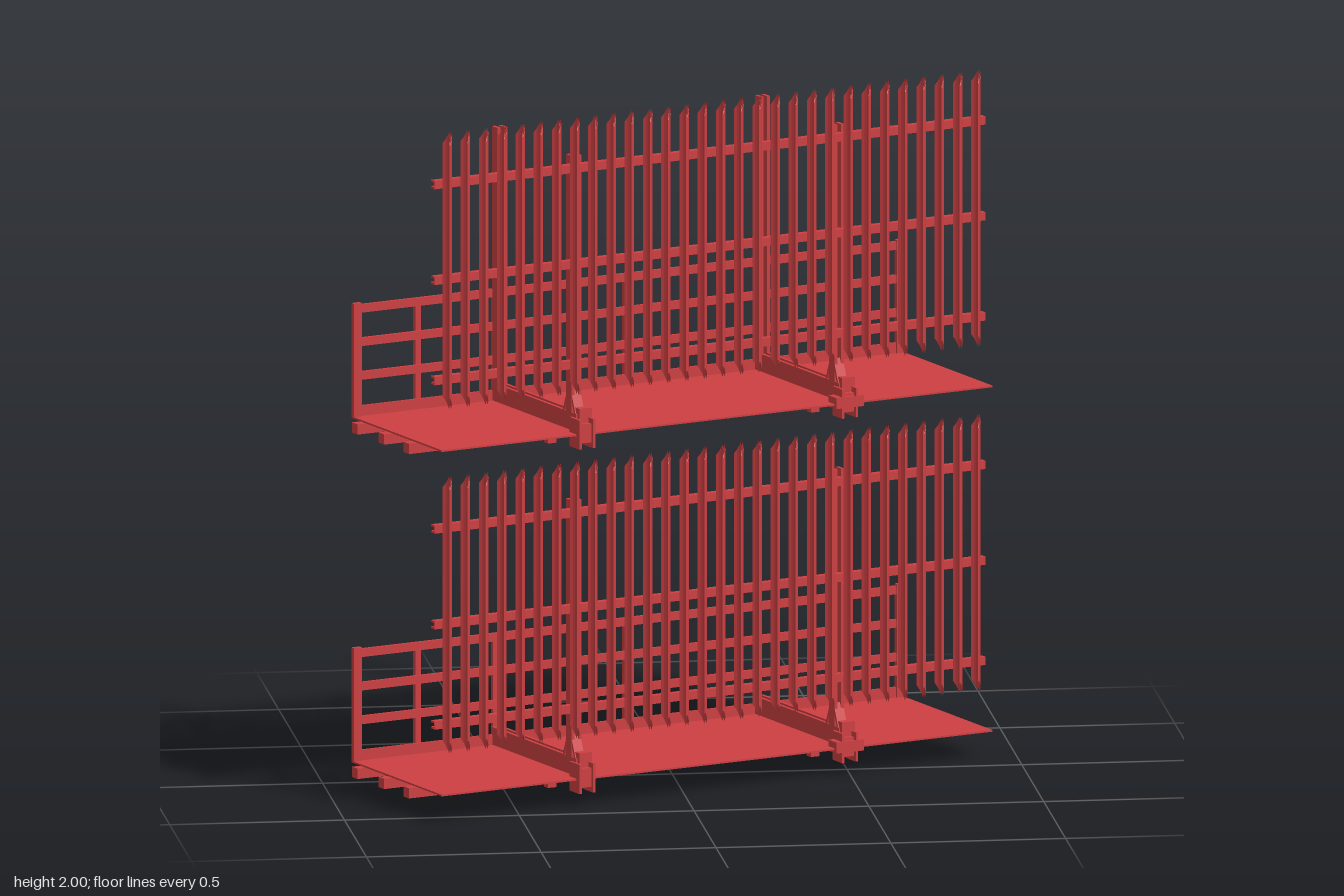
import * as THREE from 'three';

const red = new THREE.MeshStandardMaterial({ color: 0xcc3f42, side: THREE.DoubleSide, flatShading: true });
const HALF = 0.895;      // half length of a platform
const ARM = 0.427;       // offset of the two support frames
const BACK = -0.257;     // guard rail line

function mesh(parent, name, geo, x = 0, y = 0, z = 0) {
  const m = new THREE.Mesh(geo, red);
  m.name = name;
  m.position.set(x, y, z);
  parent.add(m);
  return m;
}

// Box given by its x, y and z ranges
function span(parent, name, x0, x1, y0, y1, z0, z1) {
  return mesh(parent, name, new THREE.BoxGeometry(x1 - x0, y1 - y0, z1 - z0),
    (x0 + x1) / 2, (y0 + y1) / 2, (z0 + z1) / 2);
}

// Pair of parallel channels with a narrow gap, centred on x
function twin(parent, name, x, y0, y1, z0, z1) {
  for (const s of [-1, 1]) {
    const c = x + s * 0.011;
    span(parent, name, c - 0.005, c + 0.005, y0, y1, z0, z1);
  }
}

// Curved steel pale, pointed at both ends
function paleGeometry() {
  const d = 0.02, height = 0.805;
  const s = new THREE.Shape();
  s.moveTo(-0.007, -d);
  s.quadraticCurveTo(0.02, 0, -0.007, d);
  s.lineTo(-0.011, d);
  s.quadraticCurveTo(0.01, 0, -0.011, -d);
  s.closePath();
  const g = new THREE.ExtrudeGeometry(s, { depth: height, bevelEnabled: false, curveSegments: 6 });
  g.rotateX(-Math.PI / 2);
  const p = g.attributes.position;
  for (let i = 0; i < p.count; i++) {
    const cut = 0.035 * Math.abs(p.getZ(i)) / d;
    p.setY(i, p.getY(i) > height / 2 ? height - cut : cut);
  }
  g.computeVertexNormals();
  return g;
}

// Thin deck sheet, notched at the front for the two mounts
function deckGeometry() {
  const s = new THREE.Shape();
  const pts = [[-HALF, 0.262], [HALF, 0.262], [HALF, -0.262]];
  for (const x of [ARM, -ARM]) {
    pts.push([x + 0.03, -0.262], [x + 0.03, -0.215], [x - 0.03, -0.215], [x - 0.03, -0.262]);
  }
  pts.push([-HALF, -0.262]);
  s.setFromPoints(pts.map(([x, y]) => new THREE.Vector2(x, y)));
  const g = new THREE.ExtrudeGeometry(s, { depth: 0.005, bevelEnabled: false });
  return g.rotateX(-Math.PI / 2);
}

const paleGeo = paleGeometry();
const deckGeo = deckGeometry();

function buildFence(level) {
  const fence = new THREE.Group();
  fence.name = 'paleFence';
  for (let i = 0; i < 30; i++) {
    mesh(fence, 'pale', paleGeo, -0.859 + i * 1.718 / 29, 0.195, 0.241);
  }
  // Angle section rails
  for (const y of [0.276, 0.567, 0.845]) {
    span(fence, 'fenceRail', -HALF, HALF, y - 0.011, y + 0.011, 0.217, 0.221);
    for (const s of [-1, 1]) {
      span(fence, 'fenceRailFlange', -HALF, HALF, y + s * 0.009 - 0.003, y + s * 0.009 + 0.003, 0.2, 0.221);
    }
  }
  level.add(fence);
}

function buildGuardRail(level) {
  const rail = new THREE.Group();
  rail.name = 'guardRail';
  for (const y of [0.395, 0.298, 0.2]) {
    span(rail, 'rail', -HALF, HALF, y - 0.012, y + 0.012, BACK - 0.005, BACK + 0.005);
  }
  span(rail, 'toeBoard', -HALF, HALF, 0.083, 0.113, BACK - 0.005, BACK + 0.003);
  for (const s of [-1, 1]) {
    span(rail, 'endPost', s * 0.882 - 0.013, s * 0.882 + 0.013, 0.08, 0.412, BACK - 0.007, BACK + 0.009);
  }
  for (const x of [-0.68, -ARM, 0, ARM, 0.68]) {
    span(rail, 'post', x - 0.009, x + 0.009, 0.015, 0.39, BACK - 0.018, BACK - 0.004);
    span(rail, 'postFoot', x - 0.016, x + 0.016, 0.012, 0.035, BACK - 0.016, BACK + 0.025);
    span(rail, 'postPin', x - 0.006, x + 0.006, 0, 0.015, BACK - 0.004, BACK + 0.01);
  }
  level.add(rail);
}

function buildDeck(level) {
  mesh(level, 'deck', deckGeo, 0, 0.078, 0);
  for (const z of [-0.245, -0.09, 0.055]) {
    span(level, 'deckBeam', -HALF, HALF, 0.036, 0.066, z - 0.016, z + 0.016);
  }
  for (const x of [-ARM, ARM]) {
    span(level, 'crossBearer', x - 0.015, x + 0.015, 0.066, 0.079, -0.25, 0.21);
    for (const z of [-0.09, 0.055]) {
      span(level, 'beamClip', x - 0.014, x + 0.014, 0.018, 0.036, z - 0.012, z + 0.012);
    }
  }
}

function buildFrame(level, x, upper) {
  const frame = new THREE.Group();
  frame.name = 'supportFrame';
  twin(frame, 'arm', x, 0.084, 0.135, -0.262, 0.235);
  twin(frame, 'frontUpright', x, 0.13, 0.88, 0.176, 0.208);
  if (upper) twin(frame, 'backUpright', x, 0.135, 0.88, -0.255, -0.223);
  // Splayed knee plates at the foot of the upright
  for (const s of [-1, 1]) {
    const knee = mesh(frame, 'kneePlate', new THREE.BoxGeometry(0.03, 0.075, 0.008), x, 0.165, 0.192 + s * 0.02);
    knee.rotation.x = -s * 0.4;
  }
  // Front mount
  span(frame, 'mountBlock', x - 0.022, x + 0.022, 0.055, 0.11, 0.222, 0.262);
  span(frame, 'mountCap', x - 0.012, x + 0.03, 0.11, 0.152, 0.212, 0.246);
  for (const s of [-1, 1]) {
    span(frame, 'mountCheek', x + s * 0.022 - 0.004, x + s * 0.022 + 0.004, 0.04, 0.125, 0.215, 0.272);
  }
  if (x > 0) span(frame, 'mountPlate', x - 0.045, x + 0.045, 0.07, 0.102, 0.225, 0.272);
  level.add(frame);
}

export function createModel() {
  const model = new THREE.Group();
  model.name = 'fencedPlatforms';
  model.rotation.y = THREE.MathUtils.degToRad(22);
  for (const i of [0, 1]) {
    const level = new THREE.Group();
    level.name = i ? 'upperPlatform' : 'lowerPlatform';
    level.position.y = i;
    buildDeck(level);
    buildGuardRail(level);
    buildFence(level);
    for (const x of [-ARM, ARM]) buildFrame(level, x, i === 1);
    model.add(level);
  }
  const root = new THREE.Group();
  root.add(model);
  return root;
}
